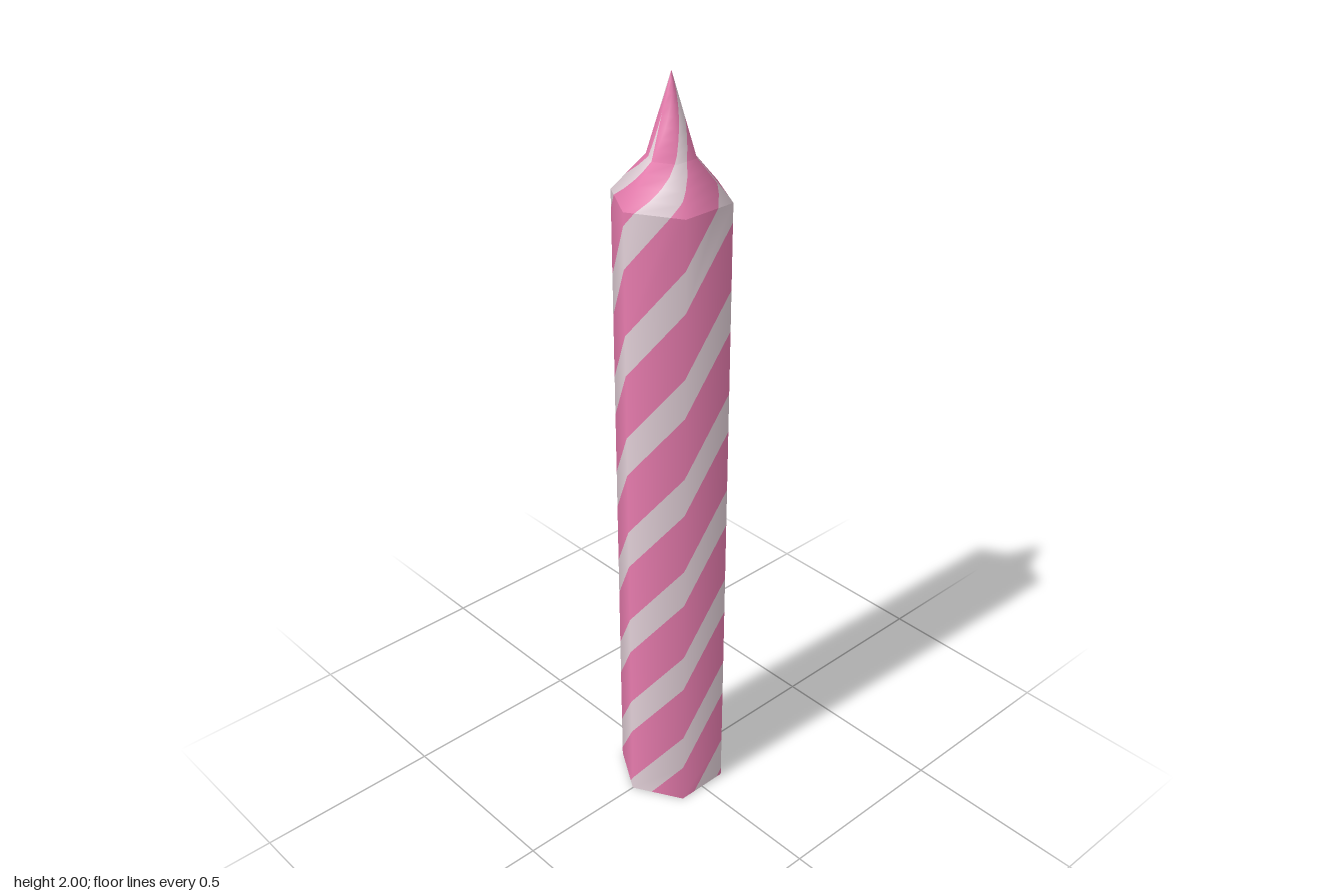
import * as THREE from 'three';

const SPACING = 1.5;   // stripe pitch, measured in hexagon sides
const WHITE = 0.58;    // width of a white stripe, in hexagon sides

// Profile sections: [y, radius, stripe shift, normal tilt] at lower and upper end
const SECTIONS = [
  { name: 'base', steps: 1, from: [0, 0, -0.2, -1], to: [0, 0.146, -0.2, -1] },
  { name: 'body', steps: 1, from: [0, 0.146, -0.2, 0], to: [1.71, 0.146, 9.18, 0] },
  { name: 'shoulder', steps: 4, from: [1.71, 0.146, 9.18, 0.4], to: [1.805, 0.06, 9.9, 0.5] },
  { name: 'tip', steps: 8, from: [1.805, 0.06, 9.9, 0.4], to: [2, 0, 11, 0.3], seam: true },
];

const corner = (i) => [Math.sin(i * Math.PI / 3), Math.cos(i * Math.PI / 3)];

// Keep the part of a polygon of [u, v] points where sign * (u - limit) >= 0
function clip(poly, limit, sign) {
  const out = [];
  poly.forEach((p, i) => {
    const q = poly[(i + 1) % poly.length];
    const dp = sign * (p[0] - limit), dq = sign * (q[0] - limit);
    if (dp >= 0) out.push(p);
    if (dp * dq < 0) {
      const t = dp / (dp - dq);
      out.push([limit, p[1] + (q[1] - p[1]) * t]);
    }
  });
  return out;
}

// Faceted ring surface split along its spiral stripes; returns [pink, white]
function buildSection({ steps, from, to, seam }) {
  const data = [0, 1].map(() => ({ position: [], normal: [] }));
  const at = (v) => from.map((a, i) => a + (to[i] - a) * v);

  const addPoint = (target, [u, v], side) => {
    const [y, r, , tilt] = at(v);
    const a = corner(side), b = corner(side + 1), t = u - side;
    const x = a[0] + (b[0] - a[0]) * t, z = a[1] + (b[1] - a[1]) * t;
    target.position.push(x * r, y, z * r);
    const h = Math.sqrt(1 - tilt * tilt) / Math.hypot(x, z);
    target.normal.push(x * h, tilt, z * h);
  };

  for (let step = 0; step < steps; step++) {
    const v0 = step / steps, v1 = (step + 1) / steps;
    const s0 = at(v0)[2], s1 = at(v1)[2];
    for (let side = 0; side < 6; side++) {
      for (let k = -20; k < 12; k++) {
        [[WHITE, SPACING], [0, WHITE]].forEach(([a, b], colour) => {
          const lo = a + k * SPACING, hi = b + k * SPACING;
          let poly = [[lo + s0, v0], [hi + s0, v0], [hi + s1, v1], [lo + s1, v1]];
          poly = clip(clip(poly, side, 1), side + 1, -1);
          if (poly.length < 3) return;
          // On the tip the stripes stop at the front and back edges
          const stops = seam && lo + from[2] < (side < 3 ? 0 : 3) - 0.01;
          const target = data[stops ? 0 : colour];
          for (let i = 1; i < poly.length - 1; i++) {
            [poly[0], poly[i], poly[i + 1]].forEach((p) => addPoint(target, p, side));
          }
        });
      }
    }
  }

  return data.map(({ position, normal }) => {
    const g = new THREE.BufferGeometry();
    g.setAttribute('position', new THREE.Float32BufferAttribute(position, 3));
    g.setAttribute('normal', new THREE.Float32BufferAttribute(normal, 3));
    return g;
  });
}

export function createModel() {
  const pink = new THREE.MeshStandardMaterial({ color: 0xe67bad });
  pink.name = 'pink wax';
  const white = new THREE.MeshStandardMaterial({ color: 0xe0ced6 });
  white.name = 'pale stripe';

  const candle = new THREE.Group();
  candle.name = 'candle';
  for (const section of SECTIONS) {
    const part = new THREE.Group();
    part.name = section.name;
    buildSection(section).forEach((geometry, i) => {
      const mesh = new THREE.Mesh(geometry, i ? white : pink);
      mesh.name = section.name + (i ? 'Stripes' : 'Wax');
      part.add(mesh);
    });
    candle.add(part);
  }
  return candle;
}
